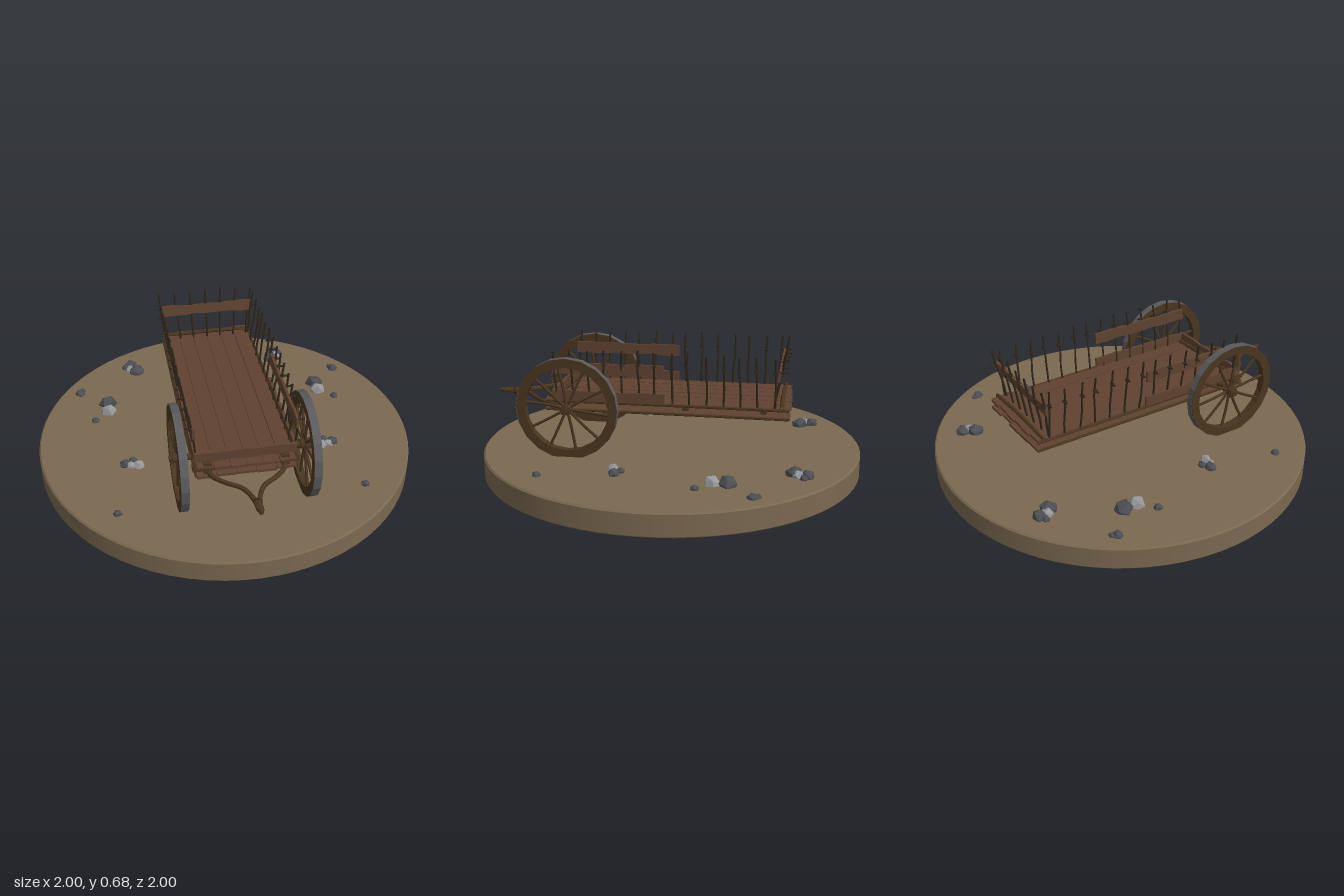
import * as THREE from 'three';

const paint = (color, flatShading = true) =>
  new THREE.MeshStandardMaterial({ color, flatShading, side: THREE.DoubleSide });
const EARTH = paint(0x7a6850, false), WOOD = paint(0x5f4230), DARK = paint(0x49351f);
const STICK = paint(0x30261b), IRON = paint(0x5a5a5c), ROCK = paint(0x4b4e52), PALE = paint(0x95979a);

let seed = 7;
const rand = () => (seed = (seed * 16807) % 2147483647) / 2147483647;
const jitter = (a) => (rand() - 0.5) * 2 * a;

function add(parent, name, geometry, material, x = 0, y = 0, z = 0) {
  const m = new THREE.Mesh(geometry, material);
  m.name = name;
  m.position.set(x, y, z);
  parent.add(m);
  return m;
}

// Round pole through a few points
function pole(parent, name, pts, r, material, steps = 8) {
  const curve = new THREE.CatmullRomCurve3(pts.map((p) => new THREE.Vector3(...p)));
  return add(parent, name, new THREE.TubeGeometry(curve, steps, r, 6), material);
}

// Rough board along x, with an arched, slightly uneven edge
function boardGeometry(length, height, depth, arch = 0) {
  const g = new THREE.BoxGeometry(length, height, depth, 8, 1, 1);
  const p = g.attributes.position;
  for (let i = 0; i < p.count; i++) {
    const t = p.getX(i) / (length / 2);
    p.setY(i, p.getY(i) - arch * t * t * Math.sign(-p.getY(i)) + 0.003 * Math.sin(9 * t + p.getY(i) * 90));
  }
  return g;
}

// Thin crooked stake with a knot where it is lashed
function stake(parent, base, top, knotOut) {
  const at = (t, w) => base.map((b, i) => b + (top[i] - b) * t + (i === 1 ? 0 : jitter(w)));
  pole(parent, 'stake', [base, at(0.3, 0.005), at(0.65, 0.005), top], 0.0055, STICK);
  const k = at(0.74, 0);
  const ring = add(parent, 'lashing', new THREE.TorusGeometry(0.009, 0.004, 5, 8), STICK, ...k);
  ring.rotation.x = Math.PI / 2;
  const peg = add(parent, 'peg', new THREE.CylinderGeometry(0.004, 0.006, 0.03, 5), STICK,
    k[0] + knotOut[0] * 0.012, k[1], k[2] + knotOut[1] * 0.012);
  peg.rotation.set(knotOut[1] ? Math.PI / 2 : 0, 0, knotOut[0] ? Math.PI / 2 : 0);
}

function makeWheel() {
  const wheel = new THREE.Group();
  wheel.name = 'wheel';
  const R = 0.264, r = 0.218, w = 0.02;
  const profile = [[r, -w], [R, -w], [R, w], [r, w], [r, -w]].map((p) => new THREE.Vector2(...p));
  add(wheel, 'rim', new THREE.LatheGeometry(profile, 20), DARK);
  add(wheel, 'ironTyre', new THREE.CylinderGeometry(R + 0.002, R + 0.002, 2 * w, 20, 1, true), IRON);
  add(wheel, 'hub', new THREE.CylinderGeometry(0.026, 0.026, 0.05, 10), DARK);
  for (let i = 0; i < 10; i++) {
    const a = ((i + 0.3) / 10) * Math.PI * 2, b = a + jitter(0.04);
    pole(wheel, 'spoke', [[0.015 * Math.cos(a), 0, 0.015 * Math.sin(a)],
      [0.12 * Math.cos(b), 0, 0.12 * Math.sin(b)],
      [0.225 * Math.cos(a), 0, 0.225 * Math.sin(a)]], 0.0075, DARK, 5);
  }
  wheel.rotation.z = Math.PI / 2;
  return wheel;
}

export function createModel() {
  const model = new THREE.Group();
  model.name = 'cartDiorama';

  // Ground disc with a small bevel
  const disc = [[0, 0], [0.995, 0], [0.995, 0], [1, 0.006], [1, 0.006], [1, 0.112], [1, 0.112],
    [0.992, 0.12], [0.992, 0.12], [0, 0.12]].map((p) => new THREE.Vector2(...p));
  add(model, 'groundDisc', new THREE.LatheGeometry(disc, 72), EARTH);

  const cart = new THREE.Group();
  cart.name = 'cart';
  model.add(cart);

  // Two layers of deck planks with uneven ends
  const deck = new THREE.Group();
  deck.name = 'deck';
  cart.add(deck);
  for (const [y, count, half] of [[0.392, 6, 0.24], [0.347, 5, 0.245]]) {
    const w = (2 * half) / count;
    for (let i = 0; i < count; i++) {
      const plank = add(deck, 'plank', new THREE.BoxGeometry(w - 0.002, 0.013, 1.255 + jitter(0.012)), WOOD,
        -half + w * (i + 0.5), y + jitter(0.002), jitter(0.006));
      plank.rotation.z = jitter(0.02);
    }
  }
  // Cross beams between and above the layers
  for (const z of [-0.5, -0.1, 0.3, 0.58])
    add(deck, 'crossBeam', new THREE.BoxGeometry(z > 0.5 ? 0.52 : 0.4, 0.032, 0.03), DARK, 0, 0.37, z);
  for (const z of [-0.595, 0.565])
    pole(deck, 'endRail', [[-0.255, 0.404, z], [0, 0.41, z + 0.004], [0.255, 0.404, z]], 0.011, DARK);

  // Front and back boards
  add(cart, 'frontBoard', boardGeometry(0.5, 0.05, 0.014), WOOD, 0, 0.43, 0.58);
  const back = add(cart, 'backBoard', boardGeometry(0.52, 0.052, 0.016, 0.006), WOOD, 0, 0.57, -0.58);
  back.rotation.x = -0.15;
  for (let i = 0; i < 7; i++) {
    const x = -0.24 + i * 0.08;
    stake(cart, [x * 0.95, 0.39, -0.555], [x * 1.1, 0.67 + jitter(0.012), -0.605], [0, -1]);
  }

  for (const s of [-1, 1]) {
    // Side stakes leaning outward
    for (let i = 0; i < 14; i++) {
      const z = -0.56 + i * 0.0865;
      stake(cart, [s * 0.237, 0.385, z], [s * 0.268, 0.665 + jitter(0.012), z + jitter(0.01)], [s, 0]);
    }
    // Side boards over the front half
    for (const [y, x, h] of [[0.57, 0.25, 0.056], [0.425, 0.245, 0.05]]) {
      const b = add(cart, 'sideBoard', boardGeometry(0.58, h, 0.014, 0.003), WOOD, s * x, y, 0.29);
      b.rotation.set(0, Math.PI / 2, 0);
    }
    // Deck edge rails
    for (const y of [0.392, 0.347])
      pole(cart, 'edgeRail', [[s * 0.245, y, -0.63], [s * 0.25, y + 0.003, 0], [s * 0.245, y, 0.62]], 0.008, DARK);

    // Wheel with axle end and cap
    const wheel = makeWheel();
    wheel.position.set(s * 0.317, 0.373, 0.49);
    cart.add(wheel);
    add(cart, 'axleCap', new THREE.BoxGeometry(0.015, 0.042, 0.042), DARK, s * 0.346, 0.37, 0.49);

    // Curved draw shafts meeting at the tip
    pole(cart, 'drawShaft', [[s * 0.19, 0.365, 0.5], [s * 0.18, 0.365, 0.64], [s * 0.125, 0.37, 0.71],
      [s * 0.05, 0.372, 0.77], [s * 0.014, 0.37, 0.85], [s * 0.006, 0.37, 0.93]], 0.012, DARK, 20);
    add(cart, 'shaftBlock', new THREE.BoxGeometry(0.04, 0.08, 0.05), DARK, s * 0.19, 0.372, 0.59);
  }
  const axle = add(cart, 'axle', new THREE.CylinderGeometry(0.016, 0.016, 0.72, 8), DARK, 0, 0.37, 0.49);
  axle.rotation.z = Math.PI / 2;
  const tip = add(cart, 'drawTip', new THREE.CylinderGeometry(0.011, 0.019, 0.09, 8), DARK, 0, 0.37, 0.905);
  tip.rotation.x = Math.PI / 2;
  add(cart, 'tipBinding', new THREE.TorusGeometry(0.018, 0.005, 5, 10), STICK, 0, 0.37, 0.87);

  // Mirrored rock clusters: x, z, radius, pale or dark
  const rocks = [[0.605, -0.37, 0.054, 0], [0.605, -0.295, 0.048, 1], [0.685, -0.22, 0.025, 0],
    [0.41, -0.67, 0.05, 0], [0.44, -0.735, 0.042, 0], [0.44, -0.69, 0.036, 1], [0.473, -0.72, 0.025, 0],
    [0.755, -0.495, 0.03, 0], [0.742, -0.52, 0.02, 0], [0.49, 0.215, 0.034, 1], [0.515, 0.17, 0.026, 0],
    [0.555, 0.195, 0.036, 0], [0.53, 0.21, 0.03, 1], [0.63, 0.563, 0.025, 0]];
  for (const s of [-1, 1])
    for (const [x, z, r, pale] of rocks) {
      const rock = add(model, 'rock', new THREE.IcosahedronGeometry(r, 0), pale ? PALE : ROCK, s * x, 0.122, z);
      rock.scale.y = 0.85;
      rock.rotation.set(x * 9, s * z * 7, 0);
    }
  return model;
}
